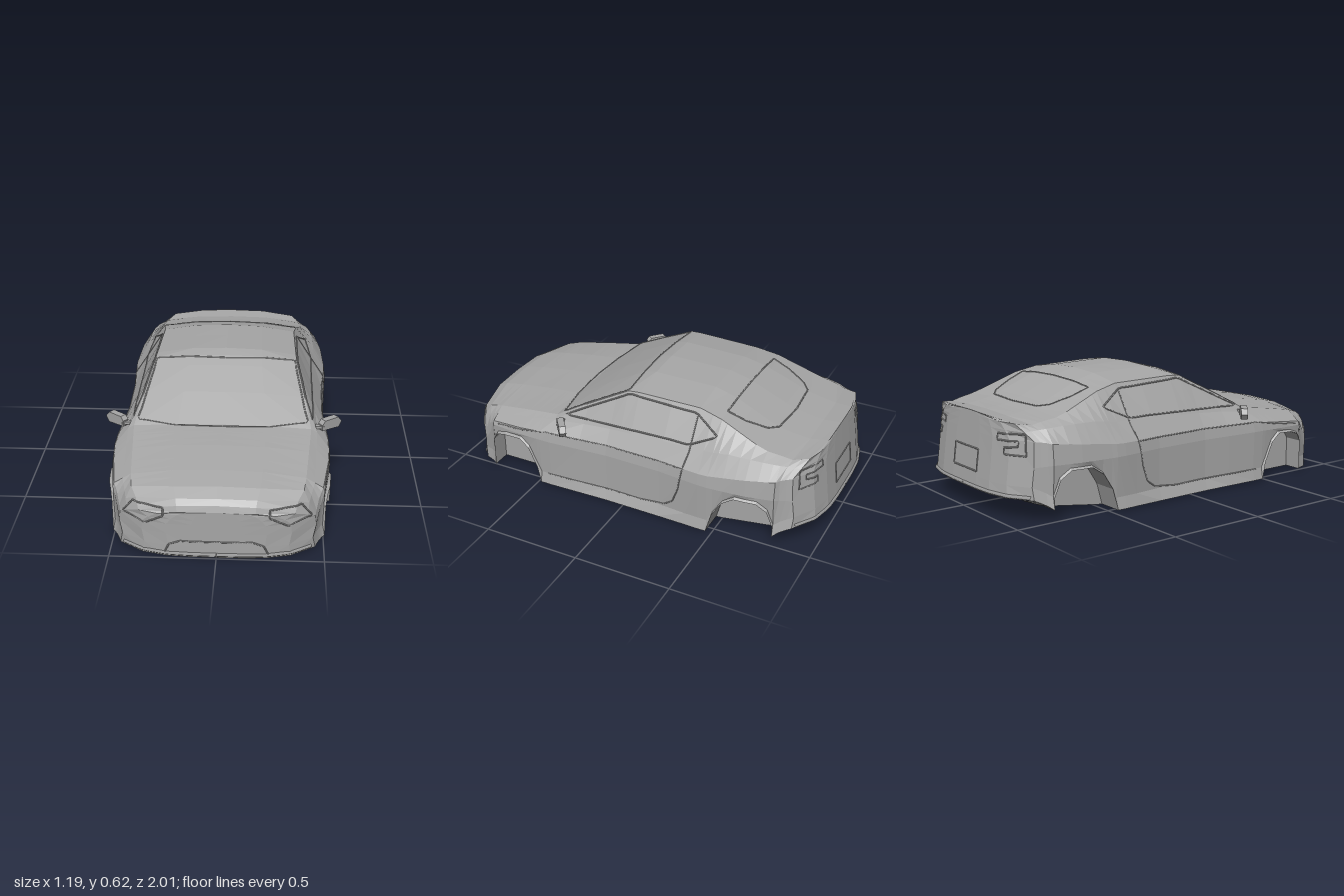
import * as THREE from 'three';

// Piecewise-linear lookup; keys run from nose (+z) to tail (-z)
function at(curve, z) {
  if (z >= curve[0][0]) return curve[0][1];
  for (let i = 1; i < curve.length; i++) {
    const [z0, v0] = curve[i - 1], [z1, v1] = curve[i];
    if (z >= z1) return v0 + (v1 - v0) * (z0 - z) / (z0 - z1);
  }
  return curve[curve.length - 1][1];
}

// Long curves of the body shell: [z, value]
const topY = [[0.99, 0.25], [0.98, 0.28], [0.96, 0.305], [0.9, 0.335], [0.8, 0.357], [0.6, 0.385], [0.42, 0.402],
  [0.25, 0.5], [0.05, 0.607], [-0.02, 0.625], [-0.35, 0.62], [-0.47, 0.59], [-0.7, 0.49], [-0.78, 0.475], [-0.86, 0.465], [-0.95, 0.472]];
const edgeX = [[0.99, 0.36], [0.9, 0.4], [0.8, 0.41], [0.42, 0.44], [0.03, 0.365], [-0.35, 0.355], [-0.47, 0.37],
  [-0.7, 0.4], [-0.86, 0.38], [-0.95, 0.35]];
const edgeY = [[0.99, 0.23], [0.96, 0.28], [0.9, 0.305], [0.8, 0.325], [0.6, 0.36], [0.42, 0.388], [0.25, 0.48],
  [0.03, 0.592], [-0.35, 0.585], [-0.47, 0.56], [-0.7, 0.472], [-0.86, 0.445], [-0.95, 0.455]];
const baseX = [[0.99, 0.42], [0.8, 0.45], [0.42, 0.47], [0.1, 0.46], [-0.3, 0.46], [-0.5, 0.47], [-0.7, 0.46], [-0.95, 0.4]];
const baseY = [[0.99, 0.205], [0.96, 0.255], [0.8, 0.3], [0.42, 0.37], [0.2, 0.395], [-0.4, 0.42], [-0.55, 0.44], [-0.7, 0.44], [-0.95, 0.42]];
const shoulderX = [[0.99, 0.455], [0.8, 0.49], [0.6, 0.52], [0.45, 0.53], [0.1, 0.505], [-0.2, 0.51], [-0.45, 0.535],
  [-0.65, 0.52], [-0.8, 0.49], [-0.95, 0.44]];
const shoulderY = [[0.99, 0.18], [0.9, 0.24], [0.8, 0.275], [0.6, 0.3], [0.45, 0.32], [-0.45, 0.33], [-0.7, 0.36], [-0.95, 0.38]];
const midY = [[0.99, 0.13], [0.85, 0.23], [0.79, 0.257], [0.48, 0.27], [-0.8, 0.27], [-0.95, 0.26]];
const skirtX = [[0.99, 0.46], [0.8, 0.505], [0.7, 0.53], [0.45, 0.545], [0.1, 0.535], [-0.3, 0.54], [-0.45, 0.545],
  [-0.7, 0.53], [-0.8, 0.5], [-0.95, 0.46]];
const floorY = [[0.99, 0.005], [0.8, 0.012], [-0.48, 0.012], [-0.8, 0.06], [-0.95, 0.11]];
const archY = [[0.79, 0], [0.789, 0.17], [0.76, 0.215], [0.7, 0.235], [0.6, 0.24], [0.55, 0.2], [0.5, 0.1], [0.48, 0],
  [-0.47, 0], [-0.5, 0.12], [-0.55, 0.2], [-0.61, 0.24], [-0.72, 0.24], [-0.77, 0.2], [-0.799, 0.12], [-0.8, 0]];
const stations = [0.99, 0.98, 0.96, 0.9, 0.84, 0.79, 0.789, 0.76, 0.7, 0.6, 0.55, 0.5, 0.48, 0.42, 0.25, 0.1, 0.04, -0.02,
  -0.2, -0.35, -0.42, -0.47, -0.5, -0.55, -0.61, -0.66, -0.72, -0.77, -0.799, -0.8, -0.86, -0.91, -0.95];

// Rounds the nose and tail in plan and rakes the tail
function warp(x, y, z) {
  if (z > 0.79) z -= 2.5 * x ** 4 * (z - 0.79) / 0.2;
  else if (z < -0.8) {
    const w = (-z - 0.8) / 0.15;
    z += w * (2.5 * x ** 4 - (0.47 - y) * 0.13);
  }
  return [x, y, z];
}

// Half cross-section from floor centre, round the wheel well and side, to roof centre
function section(z) {
  const fy = at(floorY, z), ay = Math.max(fy, at(archY, z));
  const sx = at(skirtX, z), hx = at(shoulderX, z), mx = hx + 0.008;
  const ex = at(edgeX, z), ey = at(edgeY, z), ty = at(topY, z);
  return [[0, fy], [0.22, fy], [0.41, fy], [0.41, ay], [sx, ay],
    [Math.min(sx - 0.012, mx), Math.max(fy + 0.06, ay + 0.01)], [mx, at(midY, z)], [hx, at(shoulderY, z)],
    [at(baseX, z), at(baseY, z)], [ex, ey], [ex * 0.5, ey + (ty - ey) * 0.8], [0, ty]];
}

function bodyGeometry() {
  const pos = [];
  const tri = (a, b, c) => {
    const [u, v, w] = [a, b, c].map(p => new THREE.Vector3(...p));
    if (v.clone().sub(u).cross(w.clone().sub(u)).length() < 1e-9) return;
    pos.push(...a, ...b, ...c);
    const [ma, mb, mc] = [a, b, c].map(p => [-p[0], p[1], p[2]]);
    pos.push(...ma, ...mc, ...mb);
  };
  const quad = (a, b, c, d) => { tri(a, b, c); tri(a, c, d); };
  const rings = stations.map(z => section(z).map(([x, y]) => warp(x, y, z)));
  for (let i = 0; i < rings.length - 1; i++)
    for (let j = 0; j < rings[i].length - 1; j++)
      quad(rings[i][j], rings[i + 1][j], rings[i + 1][j + 1], rings[i][j + 1]);
  // Curved nose and tail faces
  for (const z of [stations[0], stations[stations.length - 1]]) {
    const s = section(z), n = 4;
    for (let j = 4; j < s.length - 1; j++)
      for (let k = 0; k < n; k++) {
        const p = (t, q) => warp(q[0] * t / n, q[1], z);
        const c = [p(k, s[j]), p(k + 1, s[j]), p(k + 1, s[j + 1]), p(k, s[j + 1])];
        if (z < 0) c.reverse();
        quad(...c);
      }
  }
  const g = new THREE.BufferGeometry();
  g.setAttribute('position', new THREE.Float32BufferAttribute(pos, 3));
  g.computeVertexNormals();
  return g;
}

export function createModel() {
  const car = new THREE.Group();
  car.name = 'coupeBody';
  const paint = new THREE.MeshStandardMaterial({ color: 0xa6a6a6 });
  paint.name = 'greyPaint';
  const add = (name, geometry) => {
    const m = new THREE.Mesh(geometry, paint);
    m.name = name;
    car.add(m);
    return m;
  };
  const body = add('bodyShell', bodyGeometry());

  // Finds the body surface under a 2D point seen from one side
  const views = {
    side: (z, y) => [[2, y, z], [-1, 0, 0]],
    top: (x, z) => [[x, 2, z], [0, -1, 0]],
    front: (x, y) => [[x, y, 2], [0, 0, -1]],
    back: (x, y) => [[x, y, -2], [0, 0, 1]],
  };
  const project = (view, a, b) => {
    const [o, d] = views[view](a, b);
    const hit = new THREE.Raycaster(new THREE.Vector3(...o), new THREE.Vector3(...d)).intersectObject(body)[0];
    return hit && hit.point;
  };
  // Thin trim that follows the surface, on both sides of the car
  const trim = (name, view, pts, closed = false, radius = 0.004) => {
    const list = closed ? [...pts, pts[0]] : pts, path = [];
    for (let i = 0; i < list.length - 1; i++)
      for (let k = 0; k < 6; k++) {
        const t = k / 6, p = list[i], q = list[i + 1];
        path.push(project(view, p[0] + (q[0] - p[0]) * t, p[1] + (q[1] - p[1]) * t));
      }
    if (!closed) path.push(project(view, ...list[list.length - 1]));
    const found = path.filter(Boolean);
    if (found.length < 3) return;
    for (const side of [1, -1]) {
      const curve = new THREE.CatmullRomCurve3(found.map(p => new THREE.Vector3(p.x * side, p.y, p.z)), closed);
      add(name + (side > 0 ? 'Left' : 'Right'), new THREE.TubeGeometry(curve, found.length * 2, radius, 4, closed));
    }
  };

  // Glass surrounds
  trim('windshieldFrame', 'top', [[0.001, 0.435], [0.22, 0.425], [0.42, 0.385], [0.355, 0.04], [0.2, 0.045], [0.001, 0.055]]);
  trim('rearWindowFrame', 'top', [[0.001, -0.47], [0.3, -0.47], [0.29, -0.56], [0.25, -0.66], [0.2, -0.7], [0.001, -0.715]]);
  trim('sideWindowFrame', 'side', [[0.36, 0.41], [0.2, 0.49], [0.03, 0.575], [-0.34, 0.56], [-0.47, 0.49], [-0.34, 0.43]], true);

  // Door outline and sill
  trim('doorSeam', 'side', [[-0.345, 0.55], [-0.345, 0.4], [-0.31, 0.2], [-0.28, 0.12], [-0.23, 0.085], [-0.1, 0.07], [0.44, 0.07]], false, 0.003);
  trim('fenderCrease', 'side', [[0.76, 0.27], [0.6, 0.29], [0.45, 0.32], [0.1, 0.325], [-0.34, 0.325]], false, 0.003);

  // Nose details
  trim('headlightFrame', 'front', [[0.245, 0.255], [0.39, 0.262], [0.44, 0.195], [0.33, 0.17], [0.245, 0.22]], true);
  trim('grilleFrame', 'front', [[0.001, 0.09], [0.17, 0.09], [0.22, 0.07], [0.245, 0.015]]);
  trim('frontLip', 'front', [[0.001, 0.02], [0.2, 0.02], [0.44, 0.02]], false, 0.01);

  // Tail details
  trim('taillightFrame', 'back', [[0.25, 0.4], [0.4, 0.41], [0.41, 0.31], [0.3, 0.31], [0.3, 0.34], [0.37, 0.35], [0.37, 0.375], [0.25, 0.37]], true);
  trim('plateFrame', 'back', [[0.001, 0.3], [0.11, 0.3], [0.11, 0.195], [0.001, 0.195]]);
  trim('rearLip', 'back', [[0.001, 0.12], [0.25, 0.12], [0.445, 0.12]], false, 0.01);

  // Door mirrors
  for (const side of [1, -1]) {
    const outline = new THREE.Shape([[-0.062, -0.02], [0.045, -0.028], [0.064, 0], [0.04, 0.028], [-0.045, 0.03], [-0.062, 0.01]]
      .map(p => new THREE.Vector2(...p)));
    const shell = add('mirror', new THREE.ExtrudeGeometry(outline, { depth: 0.034, bevelEnabled: false }).translate(0, 0, -0.017));
    shell.position.set(side * 0.535, 0.384, 0.34);
    shell.rotation.y = side > 0 ? 0.68 : Math.PI - 0.68;
    const stalk = add('mirrorStalk', new THREE.BoxGeometry(0.06, 0.015, 0.025));
    stalk.position.set(side * 0.475, 0.38, 0.375);
  }
  return car;
}
